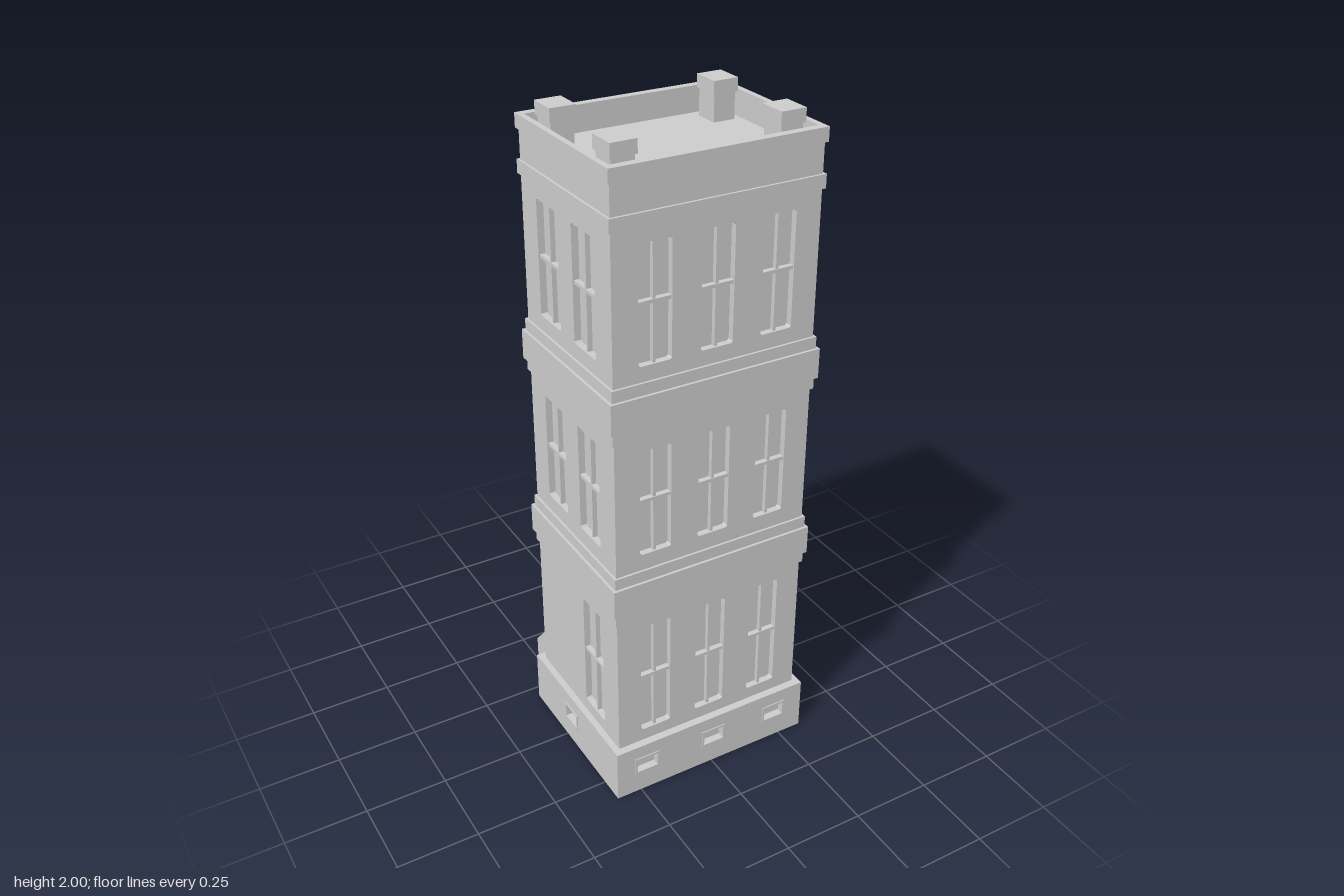
import * as THREE from 'three';

const grey = new THREE.MeshStandardMaterial({ color: 0xcccccc });
const brown = new THREE.MeshStandardMaterial({ color: 0x6b4030 });
const green = new THREE.MeshStandardMaterial({ color: 0x4a9a10 });

const T = 0.02; // wall thickness, also the depth of window recesses

function add(parent, name, geometry, material = grey) {
  const mesh = new THREE.Mesh(geometry, material);
  mesh.name = name;
  parent.add(mesh);
  return mesh;
}

// Box given by its extents on each axis
function box(parent, name, x0, x1, y0, y1, z0, z1, material) {
  const mesh = add(parent, name, new THREE.BoxGeometry(x1 - x0, y1 - y0, z1 - z0), material);
  mesh.position.set((x0 + x1) / 2, (y0 + y1) / 2, (z0 + z1) / 2);
  return mesh;
}

// Rectangle outline with optional chamfered corners
function rect(x0, x1, y0, y1, c = 0) {
  const p = c
    ? [[x0 + c, y0], [x1 - c, y0], [x1, y0 + c], [x1, y1 - c], [x1 - c, y1], [x0 + c, y1], [x0, y1 - c], [x0, y0 + c]]
    : [[x0, y0], [x1, y0], [x1, y1], [x0, y1]];
  return p.map(([x, y]) => new THREE.Vector2(x, y));
}

// Flat panel with holes, its back on z = 0
function panel(parent, name, outline, holes, depth, material) {
  const shape = new THREE.Shape(outline);
  holes.forEach((h) => shape.holes.push(new THREE.Path(h)));
  return add(parent, name, new THREE.ExtrudeGeometry(shape, { depth, bevelEnabled: false }), material);
}

// Group whose local z = 0 is the inner plane of the wall on one side
// side: 0 front, 1 right (+x), 2 back, 3 left (-x)
function wallSide(parent, name, side, hx, hz) {
  const g = new THREE.Group();
  g.name = name;
  const angle = (side * Math.PI) / 2;
  const d = (side % 2 ? hx : hz) - T;
  g.rotation.y = angle;
  g.position.set(Math.sin(angle) * d, 0, Math.cos(angle) * d);
  parent.add(g);
  return g;
}

// Muntins dividing a window opening
function muntins(parent, w) {
  for (let i = 1; i < w.cols; i++) {
    const x = w.u - w.w / 2 + (w.w * i) / w.cols;
    box(parent, 'windowMullion', x - 0.004, x + 0.004, w.y0, w.y1, 0, 0.014);
  }
  const ym = (w.y0 + w.y1) / 2 + 0.005;
  box(parent, 'windowCrossbar', w.u - w.w / 2, w.u + w.w / 2, ym - 0.005, ym + 0.005, 0, 0.016);
}

function door(parent, u) {
  const a = u - 0.0535, b = u + 0.0535;
  box(parent, 'doorSlab', a, b, 0.17, 0.59, 0, 0.003, brown);
  const holes = [rect(a + 0.012, b - 0.012, 0.49, 0.565)];
  for (const [y0, y1] of [[0.2, 0.31], [0.335, 0.455]]) {
    holes.push(rect(a + 0.015, u - 0.005, y0, y1), rect(u + 0.005, b - 0.015, y0, y1));
  }
  panel(parent, 'doorFrame', rect(a, b, 0.17, 0.59), holes, 0.008, brown);
  box(parent, 'doorTransom', a + 0.012, b - 0.012, 0.49, 0.565, 0, 0.005);
  box(parent, 'doorMat', a, b, 0.168, 0.177, 0.008, 0.046, green);
}

export function createModel() {
  const model = new THREE.Group();
  const tower = new THREE.Group();
  tower.name = 'tower';
  tower.position.z = 0.061;
  model.add(tower);

  const slab = (name, hx, hz, y0, y1) => box(tower, name, -hx, hx, y0, y1, -hz, hz);
  const HX = 0.31, HZ = 0.246;

  // Base with small framed basement windows
  const BX = 0.33, BZ = 0.27;
  slab('baseCore', BX - T, BZ - T, 0, 0.17);
  [[-0.228, 0.005, 0.226], [0.027], [-0.228, -0.01], [-0.027]].forEach((list, side) => {
    const g = wallSide(tower, 'baseWall', side, BX, BZ);
    const half = side % 2 ? BZ - T : BX;
    panel(g, 'basePanel', rect(-half, half, 0, 0.17),
      list.map((u) => rect(u - 0.034, u + 0.034, 0.076, 0.12)), T);
    for (const u of list) {
      const frame = panel(g, 'basementWindowFrame', rect(u - 0.041, u + 0.041, 0.069, 0.127),
        [rect(u - 0.034, u + 0.034, 0.076, 0.12)], 0.006);
      frame.position.z = T - 0.003;
    }
  });

  // Storeys: wall panels pierced by windows in front of a solid core
  const storeys = [
    { y0: 0.16, y1: 0.65, w0: 0.21, w1: 0.59 },
    { y0: 0.77, y1: 1.235, w0: 0.84, w1: 1.17 },
    { y0: 1.355, y1: 1.81, w0: 1.42, w1: 1.755 },
  ];
  storeys.forEach((s, level) => {
    slab('storeyCore', HX - T, HZ - T, s.y0, s.y1);
    for (let side = 0; side < 4; side++) {
      const g = wallSide(tower, 'storeyWall', side, HX, HZ);
      const half = side % 2 ? HZ - T : HX;
      let us = side % 2 ? [-0.099, 0.099] : [-0.185, 0, 0.185];
      let w = side % 2 ? 0.12 : 0.098, cols = 2;
      if (level === 0 && side === 3) us = [0.099];
      const entrance = level === 0 && side === 2;
      if (entrance) {
        us = [-0.206, 0.01];
        w = 0.155;
        cols = 3;
      }
      const windows = us.map((u) => ({ u, w, cols, y0: s.w0, y1: s.w1 }));
      const holes = windows.map((o) => rect(o.u - w / 2, o.u + w / 2, o.y0, o.y1, 0.005));
      if (entrance) holes.push(rect(0.187 - 0.0535, 0.187 + 0.0535, 0.168, 0.59));
      panel(g, 'wallPanel', rect(-half, half, s.y0, s.y1), holes, T);
      windows.forEach((o) => muntins(g, o));
      if (entrance) door(g, 0.187);
    }
  });

  // Cornices between the storeys
  for (const y of [0.63, 1.215]) {
    slab('corniceLowerLip', HX + 0.007, HZ + 0.007, y, y + 0.035);
    slab('corniceBand', HX + 0.015, HZ + 0.015, y + 0.035, y + 0.125);
    slab('corniceUpperLip', HX + 0.007, HZ + 0.007, y + 0.125, y + 0.16);
  }

  // Roof and parapet
  slab('topMoulding', HX + 0.007, HZ + 0.007, 1.797, 1.836);
  slab('roof', HX - 0.005, HZ - 0.005, 1.82, 1.885);
  const ring = (name, hx, hz, y0, y1) => {
    const m = panel(tower, name, rect(-hx, hx, -hz, hz), [rect(-0.3, 0.3, -0.229, 0.229)], y1 - y0);
    m.rotation.x = -Math.PI / 2;
    m.position.y = y0;
  };
  ring('parapet', HX, HZ, 1.83, 1.925);
  ring('parapetCap', HX + 0.007, HZ + 0.007, 1.92, 1.96);

  // Corner chimneys on the roof
  for (const sx of [-1, 1]) {
    for (const z of [-0.16, 0.156]) {
      const x = sx * 0.244;
      box(tower, 'chimneyPost', x - 0.033, x + 0.033, 1.88, 1.965, z - 0.038, z + 0.038);
      box(tower, 'chimneyCap', x - 0.038, x + 0.038, 1.962, 2, z - 0.0435, z + 0.0435);
    }
  }

  // Entrance stairs with sloping side walls
  const stairs = new THREE.Group();
  stairs.name = 'stairs';
  model.add(stairs);
  for (let i = 0; i < 5; i++) {
    const z = -0.333 + i * 0.0243;
    box(stairs, 'step', -0.251, -0.124, 0, 0.034 * (i + 1), z, z + 0.0243 + (i === 4 ? 0.01 : 0));
  }
  for (const x of [-0.27, -0.125]) {
    const outline = [[0.18, 0], [0.333, 0], [0.333, 0.13], [0.18, 0.298]].map(([a, b]) => new THREE.Vector2(a, b));
    const wall = panel(stairs, 'stairSideWall', outline, [], 0.02);
    wall.rotation.y = Math.PI / 2;
    wall.position.x = x;
  }
  return model;
}
